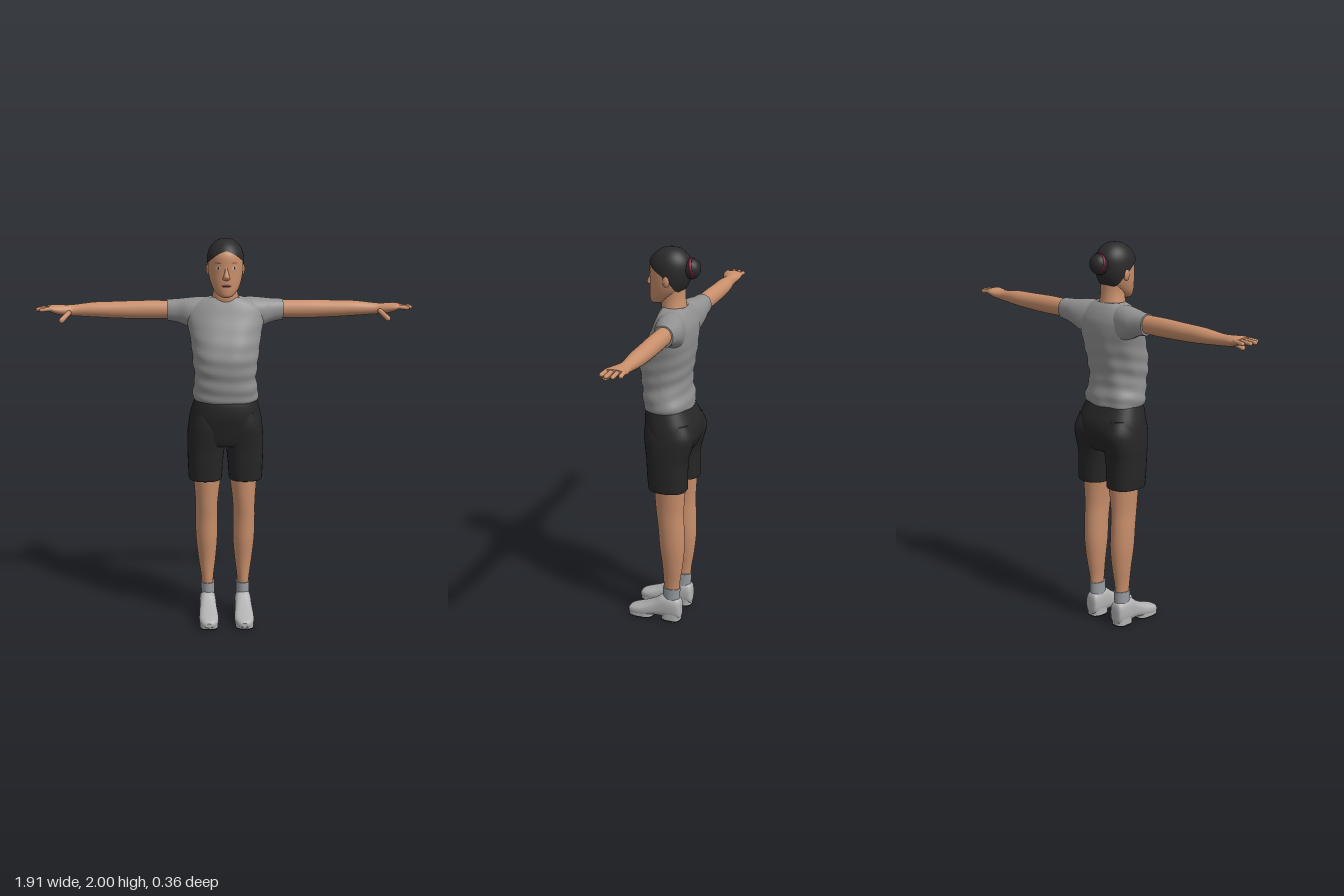
import * as THREE from 'three';

const mat = (name, color, side = THREE.FrontSide) => {
  const m = new THREE.MeshStandardMaterial({ color, side });
  m.name = name;
  return m;
};

// Closed tube of n columns; f(angle, v) gives a point, v runs 0..1; optional flat caps
function tube(f, n, rows, caps = true) {
  const pos = [], idx = [];
  const ring = (v) => {
    for (let j = 0; j < n; j++) pos.push(...f((j / n) * Math.PI * 2, v));
  };
  for (let i = 0; i <= rows; i++) ring(i / rows);
  for (let i = 0; i < rows; i++) for (let j = 0; j < n; j++) {
    const a = i * n + j, b = i * n + ((j + 1) % n);
    idx.push(a, b, a + n, b, b + n, a + n);
  }
  if (caps) for (const v of [0, 1]) {
    const base = pos.length / 3, c = [0, 0, 0];
    ring(v);
    for (let j = 0; j < n; j++) for (let k = 0; k < 3; k++) c[k] += pos[(base + j) * 3 + k] / n;
    pos.push(...c);
    for (let j = 0; j < n; j++) {
      const p = base + j, q = base + ((j + 1) % n);
      if (v) idx.push(p, q, base + n); else idx.push(q, p, base + n);
    }
  }
  const g = new THREE.BufferGeometry();
  g.setAttribute('position', new THREE.Float32BufferAttribute(pos, 3));
  g.setIndex(idx);
  g.computeVertexNormals();
  return g;
}

// Smooth interpolation through the rows of a section list, s in 0..1
function sectionAt(rings, s) {
  const last = rings.length - 1, x = s * last, i = Math.min(Math.floor(x), last - 1), t = x - i;
  const at = (k) => rings[Math.max(0, Math.min(last, k))];
  return rings[i].map((p1, k) => {
    const p0 = at(i - 1)[k], p2 = at(i + 1)[k], p3 = at(i + 2)[k];
    return p1 + 0.5 * t * (p2 - p0 + t * (2 * p0 - 5 * p1 + 4 * p2 - p3 + t * (3 * (p1 - p2) + p3 - p0)));
  });
}

// Loft along an axis. Sections: y [y,x0,x1,z0,z1], x [x,y0,y1,z0,z1], z [z,x0,x1,y0,y1]
function loft(axis, rings, { n = 32, power = 2, warp = null } = {}) {
  const sp = (v) => Math.sign(v) * Math.pow(Math.abs(v), 2 / power);
  return tube((a, s) => {
    const [t, a0, a1, b0, b1] = sectionAt(rings, s);
    const [ca, cb] = axis === 'y' ? [Math.sin(a), Math.cos(a)] : [Math.cos(a), Math.sin(a)];
    const p = (a0 + a1) / 2 + sp(ca) * (a1 - a0) / 2, q = (b0 + b1) / 2 + sp(cb) * (b1 - b0) / 2;
    const v = axis === 'y' ? [p, t, q] : axis === 'x' ? [t, p, q] : [p, q, t];
    return warp ? warp(v) : v;
  }, n, (rings.length - 1) * 5);
}

function mirror(geo) {
  const g = geo.clone();
  g.scale(-1, 1, 1);
  const i = g.index.array;
  for (let k = 0; k < i.length; k += 3) [i[k], i[k + 1]] = [i[k + 1], i[k]];
  g.computeVertexNormals();
  return g;
}

// Skull sections from chin to crown
const SKULL = [
  [1.712, -0.015, 0.015, 0.045, 0.075], [1.722, -0.038, 0.038, 0, 0.086],
  [1.75, -0.062, 0.062, -0.045, 0.089], [1.79, -0.078, 0.078, -0.085, 0.089],
  [1.83, -0.086, 0.086, -0.108, 0.088], [1.87, -0.089, 0.089, -0.118, 0.088],
  [1.92, -0.086, 0.086, -0.118, 0.086], [1.957, -0.07, 0.07, -0.1, 0.062],
  [1.982, -0.044, 0.044, -0.072, 0.03], [1.992, -0.02, 0.02, -0.045, 0], [1.994, -0.002, 0.002, -0.025, -0.02],
];

// Point on the skull at an angle from the front and a height, swollen by k
function skullPoint(phi, y, k = 1) {
  let lo = 0, hi = 1;
  for (let i = 0; i < 24; i++) {
    const m = (lo + hi) / 2;
    if (sectionAt(SKULL, m)[0] < y) lo = m; else hi = m;
  }
  const [, x0, x1, z0, z1] = sectionAt(SKULL, lo);
  const x = Math.sin(phi) * (x1 - x0) / 2, z = (z0 + z1) / 2 + Math.cos(phi) * (z1 - z0) / 2;
  return [x * k, 1.87 + (y - 1.87) * k, -0.02 + (z + 0.02) * k];
}

// Thin oval lying on the face
const facePatch = (phi, y, dPhi, dy, k = 1.02) =>
  tube((a, v) => skullPoint(phi + dPhi * Math.cos(a) * (1 - v), y + dy * Math.sin(a) * (1 - v), k), 20, 4, false);

export function createModel() {
  const model = new THREE.Group();
  model.name = 'standingFigure';
  const skin = mat('skin', 0xc98f6b), shirt = mat('shirtGrey', 0x919191), dark = mat('shortsBlack', 0x262626);
  const hairMat = mat('hairBlack', 0x2a2a2b, THREE.DoubleSide), shoeMat = mat('shoeGrey', 0xb2b2b2);
  const sockMat = mat('sockGrey', 0x979ba0), soleMat = mat('soleBlack', 0x1a1a1a), tieMat = mat('hairTieCrimson', 0x6e1033);
  const lipMat = mat('lipBrown', 0x8f5145), eyeMat = mat('eyeWhite', 0xc9bdb2);
  const add = (name, geo, m) => {
    const mesh = new THREE.Mesh(geo, m);
    mesh.name = name;
    model.add(mesh);
    return mesh;
  };
  const pair = (name, geo, m) => {
    add(name + 'Left', geo, m);
    add(name + 'Right', mirror(geo), m);
  };
  const ball = (r, sx, sy, sz, x, y, z) => new THREE.SphereGeometry(r, 24, 16).scale(sx, sy, sz).translate(x, y, z);

  // Head, neck and face
  add('head', loft('y', SKULL, { n: 40 }), skin);
  add('neck', loft('y', [[1.66, -0.08, 0.08, -0.11, 0.02], [1.7, -0.068, 0.068, -0.1, 0.028],
    [1.75, -0.06, 0.06, -0.093, 0.03], [1.8, -0.062, 0.062, -0.092, 0.03]]), skin);
  add('nose', loft('y', [[1.798, -0.012, 0.012, 0.07, 0.088], [1.808, -0.019, 0.019, 0.07, 0.102],
    [1.82, -0.015, 0.015, 0.07, 0.107], [1.845, -0.009, 0.009, 0.07, 0.095], [1.875, -0.007, 0.007, 0.07, 0.086]], { n: 16 }), skin);
  pair('ear', ball(1, 0.012, 0.03, 0.018, 0.086, 1.845, -0.022), skin);
  pair('eye', facePatch(0.47, 1.86, 0.15, 0.007), eyeMat);
  pair('iris', facePatch(0.46, 1.86, 0.05, 0.006, 1.03), soleMat);
  pair('eyebrow', facePatch(0.47, 1.885, 0.2, 0.003), lipMat);
  add('lips', facePatch(0, 1.775, 0.36, 0.009, 1.03), lipMat);
  add('mouthLine', facePatch(0, 1.775, 0.3, 0.002, 1.04), soleMat);

  // Hair cap with a hairline dropping to the nape, then bun and tie
  const line = [[1.94], [1.925], [1.9], [1.875], [1.84], [1.8], [1.787], [1.785]];
  add('hairCap', tube((a, v) => {
    const low = sectionAt(line, Math.min(a, Math.PI * 2 - a) / Math.PI)[0];
    return skullPoint(a, low + (1.9939 - low) * Math.sin(v * Math.PI / 2), 1.05);
  }, 48, 16, false), hairMat);
  add('hairBun', ball(1, 0.05, 0.052, 0.046, 0, 1.898, -0.125), hairMat);
  add('hairTie', new THREE.TorusGeometry(0.043, 0.009, 10, 28).rotateX(0.25).translate(0, 1.903, -0.133), tieMat);

  // Shirt with soft folds that grow towards the hem
  const folds = ([x, y, z]) => {
    const w = 0.0045 * THREE.MathUtils.clamp((1.62 - y) * 4, 0.1, 1);
    const d = Math.sin(34 * y + 26 * x) * Math.sin(47 * y - 19 * x + 21 * z);
    return [x + Math.sign(x) * w * d * Math.min(1, Math.abs(x) * 10), y, z + Math.sign(z + 0.02) * w * d];
  };
  add('shirtBody', loft('y', [
    [1.175, -0.156, 0.156, -0.128, 0.095], [1.19, -0.166, 0.166, -0.138, 0.104], [1.23, -0.168, 0.168, -0.134, 0.112],
    [1.3, -0.157, 0.157, -0.122, 0.121], [1.37, -0.163, 0.163, -0.126, 0.131], [1.44, -0.171, 0.171, -0.137, 0.124],
    [1.52, -0.183, 0.183, -0.147, 0.096], [1.6, -0.198, 0.198, -0.148, 0.06], [1.65, -0.185, 0.185, -0.135, 0.04],
    [1.685, -0.14, 0.14, -0.117, 0.025], [1.705, -0.085, 0.085, -0.1, 0.012]], { n: 64, power: 2.3, warp: folds }), shirt);
  pair('sleeve', loft('x', [[0.06, 1.52, 1.7, -0.12, 0.01], [0.13, 1.52, 1.702, -0.137, 0.012],
    [0.19, 1.55, 1.696, -0.143, 0], [0.24, 1.57, 1.69, -0.138, -0.022], [0.295, 1.58, 1.687, -0.133, -0.034]], { power: 2.2 }), shirt);

  // Arms and hands
  pair('arm', loft('x', [[0.25, 1.59, 1.68, -0.125, -0.042], [0.4, 1.588, 1.682, -0.126, -0.042],
    [0.55, 1.592, 1.678, -0.128, -0.043], [0.66, 1.598, 1.675, -0.126, -0.044], [0.76, 1.605, 1.664, -0.112, -0.05],
    [0.8, 1.608, 1.662, -0.113, -0.04], [0.84, 1.614, 1.664, -0.121, -0.024], [0.87, 1.624, 1.665, -0.122, -0.018],
    [0.89, 1.634, 1.66, -0.12, -0.022]]), skin);
  const finger = (x0, y0, z0, x1, y1, z1, r) => {
    const a = new THREE.Vector3(x0, y0, z0), d = new THREE.Vector3(x1, y1, z1).sub(a), len = d.length();
    const g = new THREE.CapsuleGeometry(r, len, 5, 12).scale(1, 1, 1).translate(0, len / 2, 0);
    g.applyQuaternion(new THREE.Quaternion().setFromUnitVectors(new THREE.Vector3(0, 1, 0), d.normalize()));
    return g.translate(x0, y0, z0);
  };
  [[-0.111, -0.113, 0.92], [-0.084, -0.084, 0.942], [-0.056, -0.053, 0.945], [-0.031, -0.024, 0.926]].forEach(([z0, z1, tip], i) =>
    pair('finger' + (i + 1), finger(0.87, 1.648, z0, tip, 1.643, z1, 0.0105), skin));
  pair('thumb', finger(0.79, 1.625, -0.045, 0.825, 1.592, 0, 0.013), skin);

  // Shorts
  add('shortsSeat', loft('y', [[0.945, -0.18, 0.18, -0.13, 0.06], [0.98, -0.191, 0.191, -0.155, 0.074],
    [1.04, -0.191, 0.191, -0.176, 0.088], [1.1, -0.183, 0.183, -0.172, 0.1], [1.16, -0.167, 0.167, -0.145, 0.099],
    [1.205, -0.152, 0.152, -0.122, 0.088]], { n: 48, power: 2.4 }), dark);
  pair('shortsLeg', loft('y', [[0.76, 0.022, 0.186, -0.138, 0.055], [0.77, 0.018, 0.19, -0.142, 0.06],
    [0.85, 0.012, 0.194, -0.141, 0.066], [0.92, 0.005, 0.196, -0.144, 0.07], [0.98, 0, 0.196, -0.16, 0.077],
    [1.05, 0.005, 0.19, -0.175, 0.085], [1.12, 0.02, 0.17, -0.15, 0.08]], { power: 2.4 }), dark);

  // Legs, socks and shoes
  pair('leg', loft('y', [[0.15, 0.064, 0.122, -0.098, -0.02], [0.22, 0.062, 0.127, -0.102, -0.014],
    [0.32, 0.05, 0.141, -0.117, -0.008], [0.43, 0.041, 0.153, -0.127, 0.006], [0.54, 0.041, 0.156, -0.125, 0.014],
    [0.64, 0.038, 0.156, -0.122, 0.026], [0.8, 0.018, 0.168, -0.132, 0.038]]), skin);
  pair('sock', loft('y', [[0.1, 0.056, 0.126, -0.1, -0.01], [0.15, 0.057, 0.127, -0.102, -0.01],
    [0.188, 0.057, 0.128, -0.104, -0.01]]), sockMat);
  pair('shoe', loft('z', [[-0.111, 0.075, 0.11, 0.03, 0.09], [-0.102, 0.055, 0.13, 0.012, 0.126],
    [-0.06, 0.05, 0.136, 0.01, 0.14], [-0.012, 0.05, 0.136, 0.012, 0.14], [0.03, 0.048, 0.138, 0.016, 0.11],
    [0.08, 0.043, 0.142, 0.008, 0.083], [0.13, 0.042, 0.142, 0.006, 0.064], [0.168, 0.055, 0.13, 0.006, 0.05],
    [0.182, 0.075, 0.11, 0.014, 0.036]], { power: 2.6 }), shoeMat);
  const slab = (y0, y1, x0, x1, z0, z1) => loft('y', [[y0, x0, x1, z0, z1], [y1, x0, x1, z0, z1]], { power: 3 });
  pair('heel', slab(0.005, 0.045, 0.053, 0.133, -0.107, -0.005), shoeMat);
  pair('foreSole', slab(0.005, 0.025, 0.045, 0.14, 0.045, 0.178), shoeMat);
  pair('heelTread', slab(0, 0.006, 0.053, 0.133, -0.107, -0.005), soleMat);
  pair('foreTread', slab(0, 0.006, 0.045, 0.14, 0.045, 0.178), soleMat);
  return model;
}
